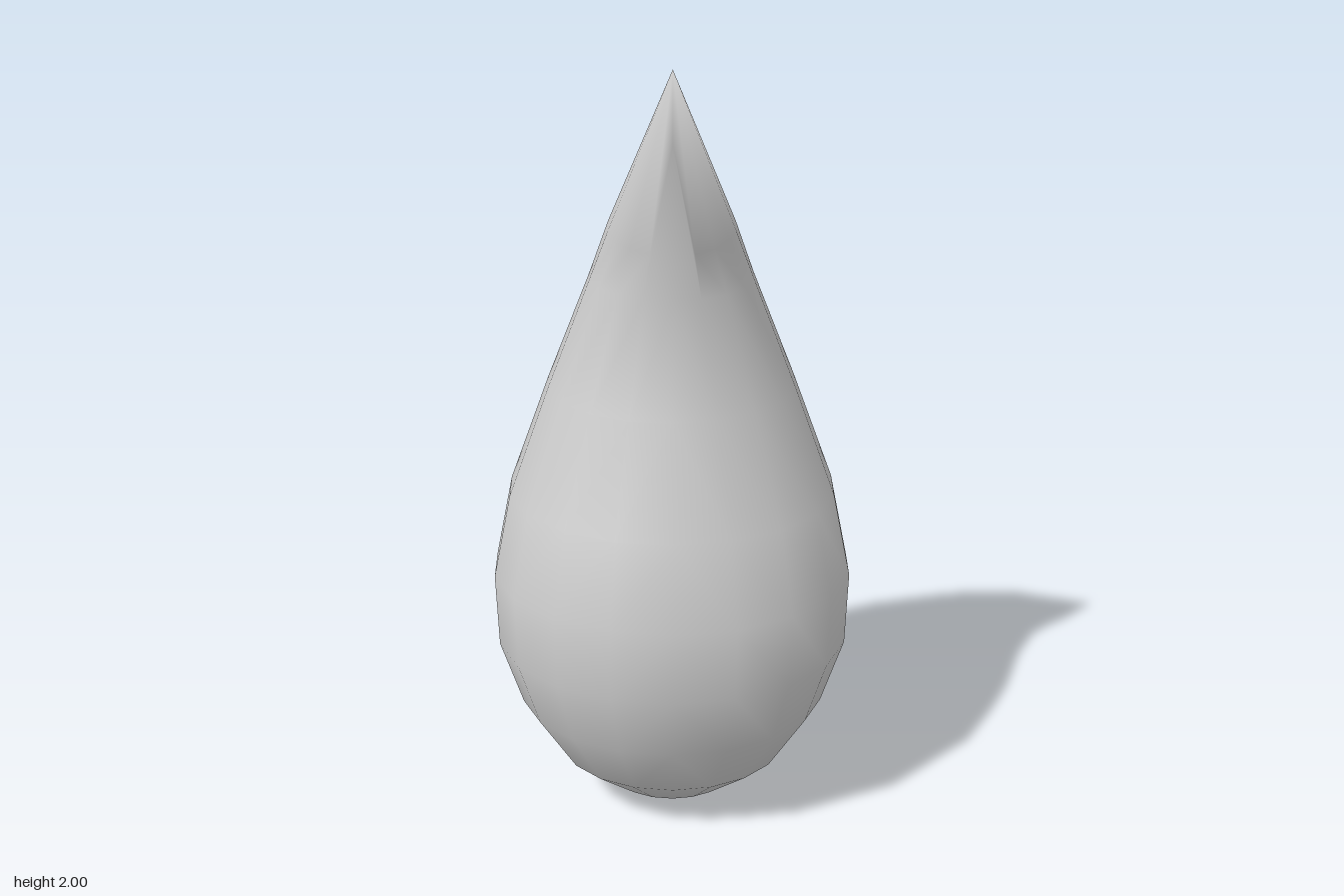
import * as THREE from 'three';

const SIDES = 18;

// Oval cross-sections, bottom to top: [y, half width, z at back, z at front]
const RINGS = [
  [0.04, 0.152, -0.11, 0.13],
  [0.14, 0.285, -0.21, 0.235],
  [0.30, 0.385, -0.29, 0.315],
  [0.475, 0.441, -0.335, 0.355],
  [0.66, 0.449, -0.355, 0.34],
  [0.865, 0.407, -0.35, 0.27],
  [1.13, 0.308, -0.32, 0.155],
  [1.42, 0.2, -0.21, 0.095],
  [1.57, 0.152, -0.115, 0.118],
];

// Closed smooth skin lofted between a bottom pole, the rings and the tip
function dropGeometry() {
  const points = [0, 0, 0.01];
  RINGS.forEach(([y, halfWidth, back, front], r) => {
    const last = r === RINGS.length - 1;
    for (let i = 0; i < SIDES; i++) {
      const a = (i / SIDES) * Math.PI * 2;
      const c = Math.cos(a);
      let py = y;
      let pz = (front + back) / 2 + c * (front - back) / 2;
      // the top ring leans, and its front point is drawn up into the beak
      if (last) {
        py -= c * 0.03;
        if (i === 0) { py = 1.83; pz = 0.18; }
      }
      points.push(Math.sin(a) * halfWidth, py, pz);
    }
  });
  points.push(0, 2, 0.177);

  const tip = 1 + RINGS.length * SIDES;
  const at = (r, i) => 1 + r * SIDES + (i % SIDES);
  const faces = [];
  for (let i = 0; i < SIDES; i++) {
    faces.push(0, at(0, i + 1), at(0, i));
    for (let r = 0; r < RINGS.length - 1; r++) {
      const a = at(r, i), b = at(r, i + 1), c = at(r + 1, i + 1), d = at(r + 1, i);
      // mirrored diagonals keep both halves alike
      if (i < SIDES / 2) faces.push(a, b, d, b, c, d);
      else faces.push(a, b, c, a, c, d);
    }
    faces.push(at(RINGS.length - 1, i), at(RINGS.length - 1, i + 1), tip);
  }

  const geometry = new THREE.BufferGeometry();
  geometry.setAttribute('position', new THREE.Float32BufferAttribute(points, 3));
  geometry.setIndex(faces);
  geometry.computeVertexNormals();
  return geometry;
}

export function createModel() {
  const group = new THREE.Group();
  group.name = 'curvedDrop';
  const body = new THREE.Mesh(dropGeometry(), new THREE.MeshStandardMaterial({ color: 0xcccccc }));
  body.name = 'dropBody';
  group.add(body);
  return group;
}
